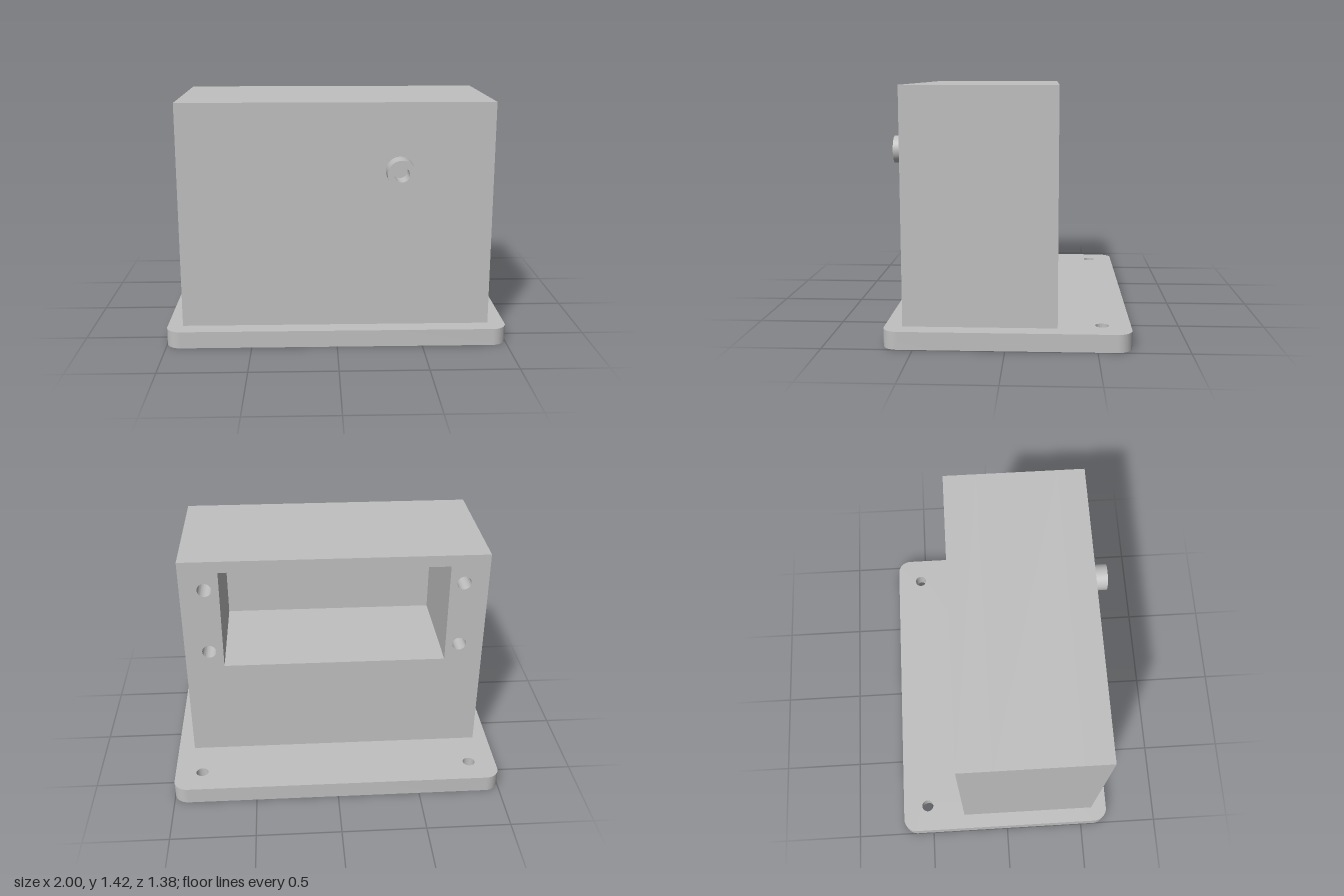
import * as THREE from 'three';
import { toCreasedNormals } from 'three/addons/utils/BufferGeometryUtils.js';

const grey = new THREE.MeshStandardMaterial({ color: 0xc0c0c0 });
grey.name = 'grey';

// Rectangle outline with optional rounded corners
function rect(x0, x1, y0, y1, r = 0, Type = THREE.Shape) {
  const s = new Type();
  if (r === 0) {
    s.moveTo(x0, y0).lineTo(x1, y0).lineTo(x1, y1).lineTo(x0, y1).closePath();
    return s;
  }
  s.moveTo(x0 + r, y0);
  s.absarc(x1 - r, y0 + r, r, -Math.PI / 2, 0);
  s.absarc(x1 - r, y1 - r, r, 0, Math.PI / 2);
  s.absarc(x0 + r, y1 - r, r, Math.PI / 2, Math.PI);
  s.absarc(x0 + r, y0 + r, r, Math.PI, Math.PI * 1.5);
  return s;
}

function circle(x, y, r, Type = THREE.Path) {
  return new Type().absarc(x, y, r, 0, Math.PI * 2);
}

// Extrude a shape with holes along z from z0 to z1
function slab(name, shape, holes, z0, z1) {
  shape.holes.push(...holes);
  const flat = new THREE.ExtrudeGeometry(shape, { depth: z1 - z0, bevelEnabled: false, curveSegments: 24 });
  flat.translate(0, 0, z0);
  const mesh = new THREE.Mesh(toCreasedNormals(flat, 0.6), grey);
  mesh.name = name;
  return mesh;
}

export function createModel() {
  const model = new THREE.Group();
  model.name = 'mountedHousing';

  // Base plate with rounded corners and four mounting holes, laid flat (shape y = -z)
  const plateHoles = [];
  for (const x of [-0.835, 0.835])
    for (const z of [-0.53, 0.51]) plateHoles.push(circle(x, -z, 0.037));
  const plate = slab('basePlate', rect(-1, 1, -0.67, 0.69, 0.085), plateHoles, 0, 0.1);
  plate.rotation.x = -Math.PI / 2;
  model.add(plate);

  // Housing: open pocket at the back, closed by the front wall
  const housing = new THREE.Group();
  housing.name = 'housing';
  const outline = () => rect(-0.91, 0.9, 0.1, 1.42);
  const pocket = () => rect(-0.68, 0.67, 0.72, 1.35, 0, THREE.Path);
  const screwHoles = [];
  for (const x of [-0.765, 0.755])
    for (const y of [0.825, 1.24]) screwHoles.push(circle(x, y, 0.042));
  housing.add(
    slab('backFrame', outline(), [pocket(), ...screwHoles], -0.285, -0.085),
    slab('pocketWalls', outline(), [pocket()], -0.085, 0.405),
    slab('frontWall', outline(), [], 0.405, 0.57)
  );
  model.add(housing);

  // Hollow spout on the front wall
  model.add(slab('spout', circle(0.36, 1.03, 0.081, THREE.Shape), [circle(0.36, 1.03, 0.043)], 0.57, 0.69));

  return model;
}
